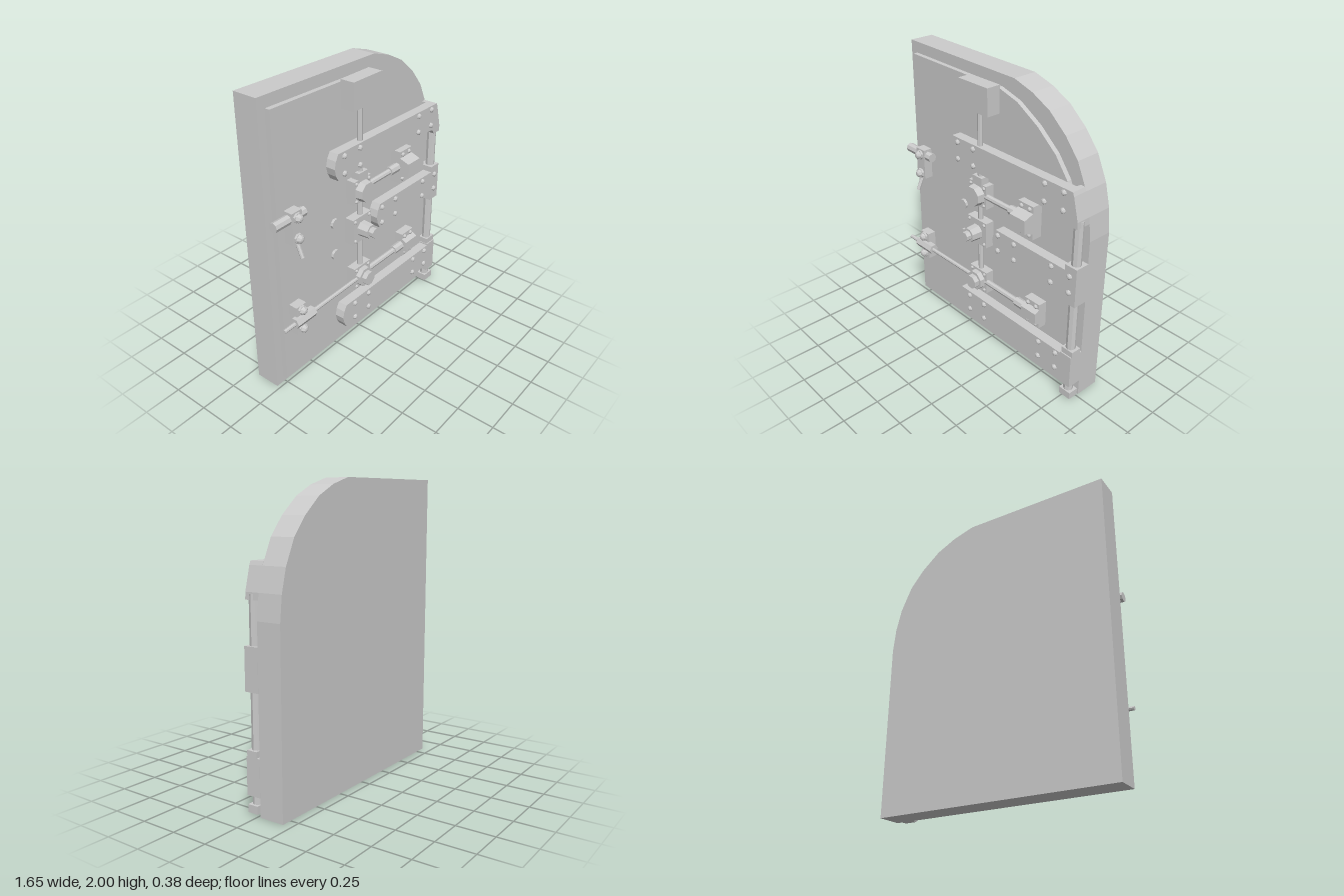
import * as THREE from 'three';

const mat = new THREE.MeshStandardMaterial({ color: 0xcccccc, flatShading: true });

export function createModel() {
  const root = new THREE.Group();
  root.name = 'vaultDoor';

  const add = (name, geo, x = 0, y = 0, z = 0, parent = root) => {
    const m = new THREE.Mesh(geo, mat);
    m.name = name;
    m.position.set(x, y, z);
    parent.add(m);
    return m;
  };
  // Box given by its min / max corners
  const box = (name, x0, x1, y0, y1, z0, z1) =>
    add(name, new THREE.BoxGeometry(x1 - x0, y1 - y0, z1 - z0), (x0 + x1) / 2, (y0 + y1) / 2, (z0 + z1) / 2);
  // Stud pointing to the front, from z0 to z1, optionally tapered
  const stud = (name, x, y, z0, z1, r0, r1 = r0, sides = 8) =>
    add(name, new THREE.CylinderGeometry(r1, r0, z1 - z0, sides).rotateY(Math.PI / sides).rotateX(Math.PI / 2), x, y, (z0 + z1) / 2);
  // Rod between two points
  const rod = (name, a, b, r, sides = 8) => {
    const p = new THREE.Vector3(...a), q = new THREE.Vector3(...b);
    const m = add(name, new THREE.CylinderGeometry(r, r, p.distanceTo(q), sides));
    m.position.addVectors(p, q).multiplyScalar(0.5);
    m.quaternion.setFromUnitVectors(new THREE.Vector3(0, 1, 0), q.sub(p).normalize());
    return m;
  };
  // Rounded bolt head
  const bolt = (x, y, z, r = 0.02) => {
    const pts = [[r, 0], [r * 0.9, r * 0.4], [r * 0.5, r * 0.75], [0, r * 0.85]].map(p => new THREE.Vector2(...p));
    return add('bolt', new THREE.LatheGeometry(pts, 8).rotateX(Math.PI / 2), x, y, z);
  };
  // Outline extruded from z0 to z1
  const slab = (name, pts, z0, z1) =>
    add(name, new THREE.ExtrudeGeometry(new THREE.Shape(pts.map(p => new THREE.Vector2(...p))),
      { depth: z1 - z0, bevelEnabled: false }), 0, 0, z0);

  // Door slab with one rounded upper corner, and raised inner plate
  slab('doorSlab', [[-0.825, 0.005], [0.82, 0], [0.82, 1.17], [0.803, 1.33], [0.765, 1.48], [0.69, 1.64],
    [0.59, 1.76], [0.46, 1.87], [0.32, 1.94], [0.17, 1.985], [-0.825, 2]], -0.19, -0.02);
  slab('innerPlate', [[-0.765, 0.05], [0.73, 0.045], [0.725, 1.32], [0.65, 1.51], [0.55, 1.64], [0.4, 1.765],
    [0.23, 1.865], [0.07, 1.91], [-0.765, 1.925]], -0.02, 0.012);

  // Hinge straps with rounded inner ends
  const strap = (x0, x1, y0, y1, r0, r1, bolts) => {
    slab('hingeStrap', [[x0 + 0.035, y0], [x1, r0], [x1, r1], [x0 + 0.035, y1], [x0 + 0.012, y1 - 0.04],
      [x0, (y0 + y1) / 2], [x0 + 0.012, y0 + 0.04]], 0.01, 0.08);
    const yc = (y0 + y1) / 2;
    for (const x of bolts) for (const s of [-1, 1]) bolt(x, yc + s * 0.058, 0.08);
  };
  strap(-0.33, 0.74, 1.33, 1.51, 1.32, 1.505, [-0.24, -0.09, 0.54, 0.69]);
  strap(0.09, 0.74, 0.802, 0.985, 0.8, 0.98, [0.145, 0.295, 0.62, 0.77]);
  strap(-0.27, 0.74, 0.175, 0.355, 0.17, 0.35, [-0.145, 0.005, 0.54, 0.69]);

  // Hinge knuckles and pin along the edge
  slab('hingeKnuckle', [[0.72, 1.31], [0.735, 1.285], [0.805, 1.285], [0.803, 1.33], [0.765, 1.48],
    [0.755, 1.505], [0.72, 1.505]], -0.02, 0.08);
  box('hingeKnuckle', 0.73, 0.822, 0.75, 1.02, -0.02, 0.08);
  box('hingeKnuckle', 0.73, 0.822, 0.12, 0.36, -0.02, 0.08);
  box('hingeCollar', 0.735, 0.825, 0.355, 0.4, 0, 0.072);
  box('hingeFoot', 0.735, 0.825, 0.015, 0.065, 0, 0.072);
  rod('hingePin', [0.778, 0.03, 0.035], [0.778, 1.32, 0.035], 0.032);

  // Vertical bolt rod and its housing
  rod('verticalRod', [-0.055, 0.5, 0.05], [-0.055, 1.78, 0.05], 0.018);
  box('rodHousing', -0.185, 0.08, 1.75, 1.93, 0.01, 0.11);

  // Gear hubs on square bolted plates
  const plate = (x, y, w, z1) => {
    box('hubPlate', x - w / 2, x + w / 2, y - w / 2, y + w / 2, 0.01, z1);
    for (const sx of [-1, 1]) for (const sy of [-1, 1]) bolt(x + sx * (w / 2 - 0.02), y + sy * (w / 2 - 0.02), z1, 0.013);
  };
  plate(-0.058, 1.17, 0.165, 0.075);
  stud('upperHub', -0.06, 1.17, 0.075, 0.125, 0.075, 0.068);
  box('upperHubSleeve', -0.1, -0.01, 1.235, 1.3, 0.02, 0.08);
  plate(-0.064, 0.89, 0.185, 0.078);
  stud('spindleBase', -0.064, 0.89, 0.078, 0.155, 0.055, 0.05);
  stud('spindleTip', -0.064, 0.89, 0.155, 0.19, 0.034);
  plate(-0.058, 0.51, 0.165, 0.075);
  stud('lowerHub', -0.06, 0.51, 0.075, 0.11, 0.072, 0.07);
  stud('lowerHubCap', -0.06, 0.51, 0.11, 0.145, 0.05);

  // Right-hand sliding bars with keeper brackets
  const keeper = (x, y, h, hump, zTop, zBase) => {
    rod('slidingBar', [0, y, 0.06], [x, y, 0.06], 0.02);
    rod('barCollar', [x - 0.09, y, 0.06], [x + 0.01, y, 0.06], 0.032);
    box('keeperBase', x, x + 0.13, y - h / 2, y + h / 2, 0.01, zBase);
    // Tapered hump across the base
    const s = new THREE.Shape([[-hump, zBase], [hump, zBase], [hump * 0.65, zTop], [-hump * 0.65, zTop]]
      .map(p => new THREE.Vector2(-p[1], p[0])).reverse());
    add('keeperHump', new THREE.ExtrudeGeometry(s, { depth: 0.13, bevelEnabled: false }).rotateY(Math.PI / 2), x, y, 0);
    for (const bx of [0.03, 0.1]) for (const sy of [-1, 1]) bolt(x + bx, y + sy * (h / 2 - 0.025), zBase, 0.016);
  };
  keeper(0.33, 1.175, 0.23, 0.07, 0.155, 0.085);
  keeper(0.4, 0.513, 0.185, 0.055, 0.11, 0.075);

  // Lower left bar, its guide and bracket
  rod('lowerBar', [-0.825, 0.508, 0.078], [-0.1, 0.513, 0.078], 0.014);
  rod('barGuide', [-0.73, 0.51, 0.075], [-0.56, 0.51, 0.075], 0.038, 6);
  box('guideBracket', -0.705, -0.62, 0.405, 0.612, 0.01, 0.075);
  for (const y of [0.44, 0.58]) {
    stud('guideNut', -0.662, y, 0.075, 0.09, 0.034);
    bolt(-0.662, y, 0.09, 0.03);
  }

  // Upper left latch with a slanted handle
  rod('latchBar', [-0.825, 1.238, 0.042], [-0.57, 1.238, 0.042], 0.032);
  box('latchBracket', -0.705, -0.62, 1.07, 1.285, 0.01, 0.075);
  for (const y of [1.105, 1.245]) {
    stud('latchNut', -0.662, y, 0.075, 0.09, 0.034);
    bolt(-0.662, y, 0.09, 0.03);
  }
  rod('latchHandle', [-0.662, 1.085, 0.06], [-0.664, 0.98, 0.108], 0.013);

  // Round studs beside the spindle
  for (const y of [0.995, 0.762]) stud('plateStud', -0.267, y, 0.01, 0.03, 0.036, 0.036, 10);

  return root;
}
